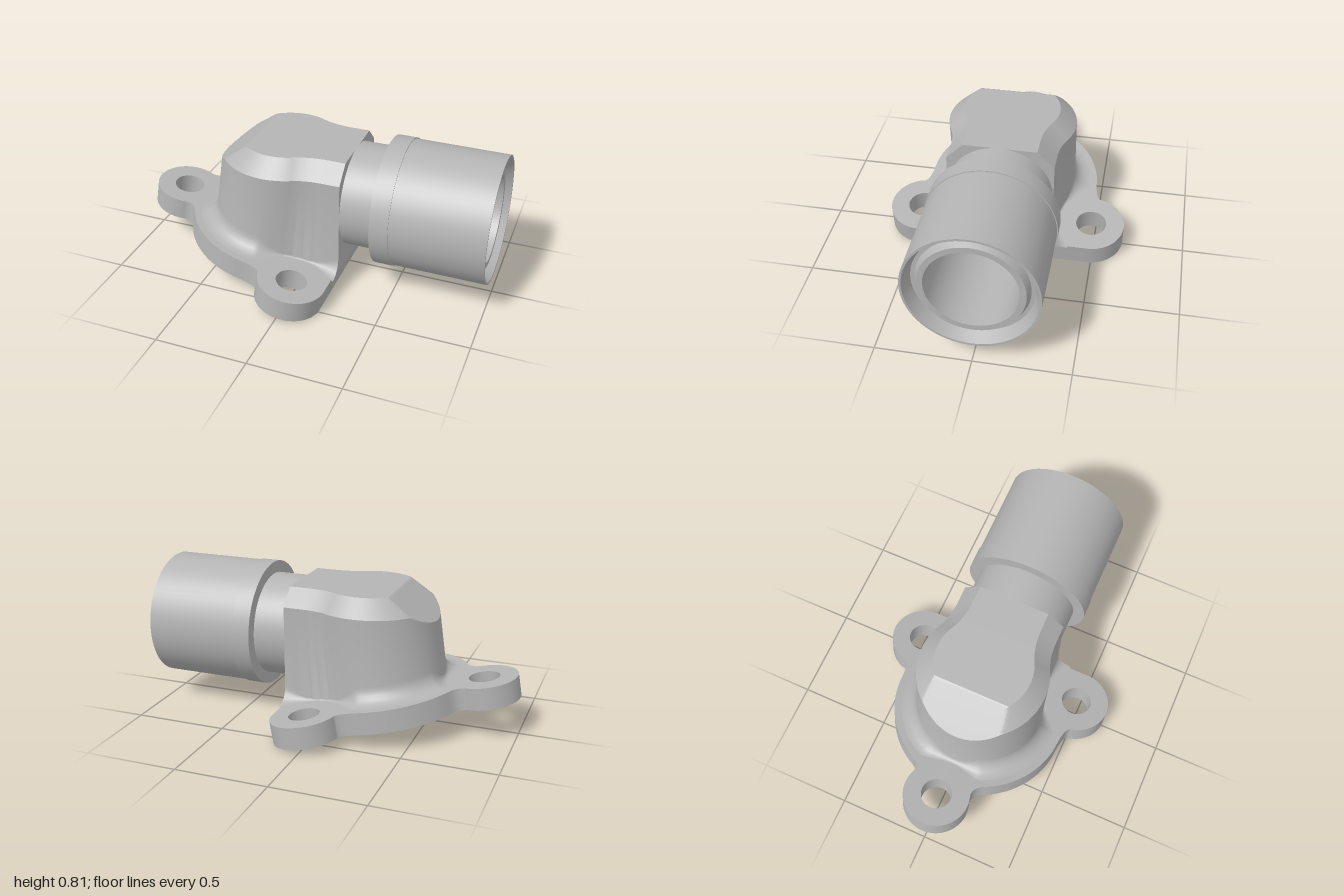
import * as THREE from 'three';
import { toCreasedNormals } from 'three/addons/utils/BufferGeometryUtils.js';

const TILT = Math.PI / 18;
const AXIS_Y = 0.465;
const clamp = THREE.MathUtils.clamp;
const metal = new THREE.MeshStandardMaterial({ color: 0xb4b4b4, side: THREE.DoubleSide });
metal.name = 'cast metal grey';

function part(name, geometry, crease = 0.45) {
  const mesh = new THREE.Mesh(toCreasedNormals(geometry, crease), metal);
  mesh.name = name;
  return mesh;
}

// Skin a list of rings; optionally bridge each ring's two ends and cap the last ring in strips
function loft(rings, capped) {
  const n = rings[0].length, index = [];
  const quad = (a, b, c, d) => index.push(a, d, c, a, c, b);
  for (let j = 0; j < rings.length - 1; j++) {
    for (let i = 0; i < n - 1; i++) {
      quad(j * n + i, j * n + i + 1, (j + 1) * n + i + 1, (j + 1) * n + i);
    }
    if (capped) quad(j * n + n - 1, j * n, (j + 1) * n, (j + 1) * n + n - 1);
  }
  if (capped) {
    const s = (rings.length - 1) * n;
    for (let i = 0; i < (n - 1) / 2; i++) quad(s + i, s + i + 1, s + n - 2 - i, s + n - 1 - i);
  }
  const g = new THREE.BufferGeometry();
  g.setAttribute('position', new THREE.Float32BufferAttribute(rings.flat(2), 3));
  g.setIndex(index);
  return g;
}

// Half outline plus its mirror image across the second axis
function mirrored(half, skipLast) {
  const other = half.slice(0, skipLast ? -1 : undefined).reverse();
  return [...half, ...other.map((p) => new THREE.Vector2(p.x, -p.y))];
}

// Tilted mounting flange with three bolt ears
function makeFlange() {
  const group = new THREE.Group();
  group.name = 'flange';
  const deg = Math.PI / 180;
  const ears = [[0.212, 0.48], [0.212, -0.48], [-0.632, 0]];
  const half = new THREE.Path();
  half.moveTo(0.394, 0.48);
  half.absarc(0.212, 0.48, 0.182, 0, 170 * deg, false);
  half.quadraticCurveTo(0.015, 0.483, -0.10, 0.478);
  half.absarc(-0.06, 0, 0.48, 95 * deg, 153 * deg, false);
  half.quadraticCurveTo(-0.518, 0.158, -0.57, 0.169);
  half.absarc(-0.632, 0, 0.18, 70 * deg, Math.PI, false);
  const outline = mirrored(half.getPoints(20), true);

  const layer = (name, y, depth, bore) => {
    const shape = new THREE.Shape(outline);
    for (const [x, z, r] of [...ears.map((e) => [...e, 0.083]), [0, 0, bore]]) {
      shape.holes.push(new THREE.Path().absarc(x, z, r, 0, Math.PI * 2, true));
    }
    const g = new THREE.ExtrudeGeometry(shape, { depth, bevelEnabled: false, curveSegments: 32 });
    g.rotateX(-Math.PI / 2).translate(0, y, 0);
    group.add(part(name, g));
  };
  layer('flangeLower', 0, 0.05, 0.37);
  layer('flangeUpper', 0.05, 0.07, 0.29);

  // Lip between the seal groove and the opening
  const lip = [[0.32, 0.05], [0.32, 0.012], [0.29, 0.012], [0.29, 0.05]];
  group.add(part('sealLip', new THREE.LatheGeometry(lip.map((p) => new THREE.Vector2(...p)), 64)));
  group.position.set(-0.2, 0.0745, 0);
  group.rotation.z = -TILT;
  return group;
}

// Housing: round-nosed block with chamfered top, sloped nose and a fillet onto the flange
function makeHousing() {
  const path = new THREE.Path();
  path.moveTo(0.22, 0.285);
  path.lineTo(0.16, 0.285);
  path.lineTo(0.12, 0.285);
  path.quadraticCurveTo(0.025, 0.285, -0.04, 0.316);
  path.absarc(-0.19, 0, 0.35, Math.atan2(0.316, 0.15), Math.PI, false);
  const pts = mirrored(path.getPoints(24), true);
  const normals = pts.map((p, i) => {
    const a = pts[Math.max(i - 1, 0)], b = pts[Math.min(i + 1, pts.length - 1)];
    return new THREE.Vector2(b.y - a.y, a.x - b.x).normalize();
  });
  // Outline runs toward -x on the +z side, so its outward normal is (dz, -dx)
  const lean = (x, y) => x + (y - 0.6) * 0.14 * clamp((0.22 - x) / 0.3, 0, 1);
  const flangeTop = (x) => 0.122 + (0.22 - x) * Math.tan(TILT);
  const nose = (x) => 0.745 + (x + 0.35) * 0.816;
  const earTops = [[-0.8, 0], [0.03, 0.48], [0.03, -0.48]];
  // Fillet shrinks where the ears' flat bolt seats cut into it
  const filletRadius = (p) => {
    const x = lean(p.x, 0.25);
    const gap = Math.min(...earTops.map(([ex, ez]) => Math.hypot(x - ex, p.y - ez))) - 0.185;
    return clamp(gap, 0.012, 0.09);
  };

  const rings = [];
  for (let k = 0; k <= 6; k++) {
    const a = (k / 6) * Math.PI / 2;
    rings.push(pts.map((p, i) => {
      const R = filletRadius(p), d = R * (1 - Math.sin(a)), h = R * (1 - Math.cos(a));
      const x0 = p.x + normals[i].x * d;
      const x = lean(x0, flangeTop(x0) + h);
      return [x, flangeTop(x) + h, p.y + normals[i].y * d];
    }));
  }
  for (let k = 0; k <= 8; k++) {
    const inset = 0.09 * k / 8;
    rings.push(pts.map((p, i) => {
      const x = p.x - normals[i].x * inset;
      const y = Math.min(0.655 + inset, nose(x));
      return [lean(x, y), y, p.y - normals[i].y * inset];
    }));
  }
  return part('housing', loft(rings, true), 0.4);
}

// Pipe stub: neck, sleeve with a thin rim, recess and inner tube end
function makePipe() {
  const profile = [
    [0.282, 0.2], [0.282, 0.4], [0.347, 0.4], [0.347, 0.5], [0.342, 0.5], [0.342, 1],
    [0.33, 1], [0.302, 0.93], [0.282, 0.93], [0.265, 0.97], [0.234, 0.97],
  ];
  const g = new THREE.LatheGeometry(profile.map((p) => new THREE.Vector2(...p)), 72);
  g.rotateZ(-Math.PI / 2).translate(0, AXIS_Y, 0);
  return part('pipe', g, 0.3);
}

// Inner passage: straight bore, bend, then flare to the flange opening
function makePassage() {
  const ring = (cx, cy, phi, r) => Array.from({ length: 65 }, (_, i) => {
    const t = (i / 64) * Math.PI * 2, c = r * Math.cos(t);
    return [cx - Math.sin(phi) * c, cy + Math.cos(phi) * c, r * Math.sin(t)];
  });
  const bend = 0.25, last = Math.PI / 2 - TILT;
  const rings = [ring(0.97, AXIS_Y, 0, 0.234)];
  for (let k = 0; k <= 12; k++) {
    const phi = last * k / 12;
    rings.push(ring(0.09 - bend * Math.sin(phi), AXIS_Y - bend + bend * Math.cos(phi), phi, 0.234));
  }
  rings.push(ring(-0.179, 0.193, last, 0.29));
  return part('passage', loft(rings, false), 0.9);
}

export function createModel() {
  const model = new THREE.Group();
  model.name = 'pipeElbowFitting';
  model.add(makeFlange(), makeHousing(), makePipe(), makePassage());
  return model;
}
